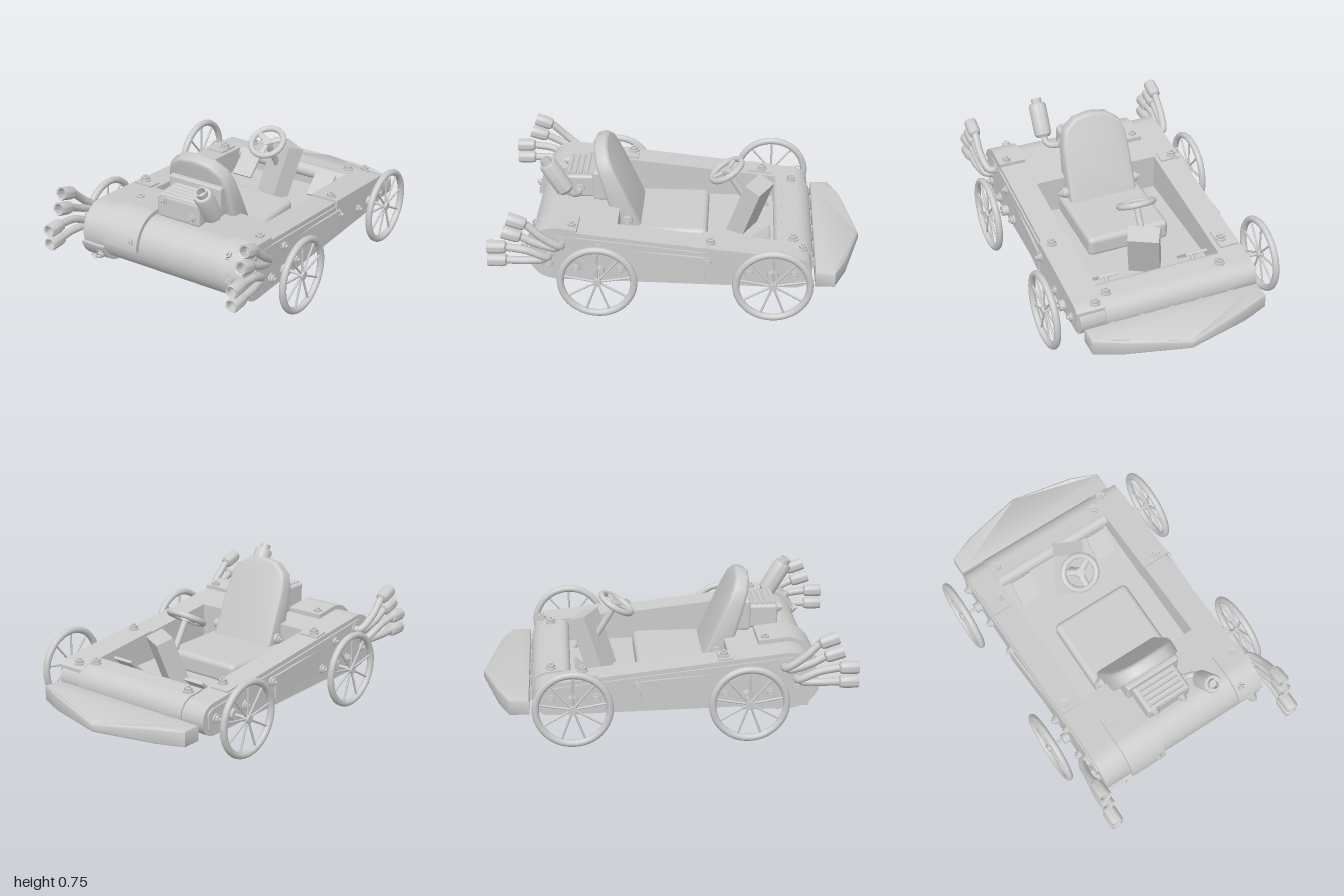
import * as THREE from 'three';
import { toCreasedNormals } from 'three/addons/utils/BufferGeometryUtils.js';
import { RoundedBoxGeometry } from 'three/addons/geometries/RoundedBoxGeometry.js';

const mat = new THREE.MeshStandardMaterial({ color: 0xcccccc, side: THREE.DoubleSide });
const V = (x, y, z) => new THREE.Vector3(x, y, z);
const UP = V(0, 1, 0);

// Side profile of the body: two circles joined by tangent lines
const rear = { z: 0.65, y: 0.3, r: 0.15 }, nose = { z: -0.63, y: 0.22, r: 0.09 };
function edge(z, s, off = 0) {
  const c = z > rear.z ? rear : z < nose.z ? nose : null;
  if (c) return c.y + s * Math.sqrt(Math.max(0, (c.r + off) ** 2 - (z - c.z) ** 2));
  const t = (z - nose.z) / (rear.z - nose.z);
  return THREE.MathUtils.lerp(nose.y + s * (nose.r + off), rear.y + s * (rear.r + off), t);
}

export function createModel() {
  const root = new THREE.Group();

  function add(name, geo, parent = root) {
    const m = new THREE.Mesh(geo, mat);
    m.name = name;
    parent.add(m);
    return m;
  }
  function box(name, w, h, d, x, y, z, r = 0) {
    const m = add(name, r ? new RoundedBoxGeometry(w, h, d, 3, r) : new THREE.BoxGeometry(w, h, d));
    m.position.set(x, y, z);
    return m;
  }
  function rod(name, a, b, r, r2 = r, sides = 16, parent = root) {
    const d = b.clone().sub(a);
    const m = add(name, new THREE.CylinderGeometry(r2, r, d.length(), sides), parent);
    m.position.copy(a).addScaledVector(d, 0.5);
    m.quaternion.setFromUnitVectors(UP, d.normalize());
    return m;
  }
  function tube(name, pts, r) {
    return add(name, new THREE.TubeGeometry(new THREE.CatmullRomCurve3(pts), 20, r, 12));
  }
  // Washer, hexagonal nut and bolt end
  function bolt(p, dir, s = 1) {
    const g = new THREE.Group();
    g.name = 'bolt';
    [[0.028, 0.006, 20], [0.022, 0.02, 6], [0.01, 0.032, 12]].forEach(([r, h, n]) =>
      rod('boltPart', V(0, -0.005, 0), V(0, h * s, 0), r * s, r * s, n, g));
    g.position.copy(p);
    g.quaternion.setFromUnitVectors(UP, dir.clone().normalize());
    root.add(g);
  }
  // Slice of the body profile between two z and two x, optionally cut in height
  function slice(name, x0, x1, z0, z1, { off = 0, lo = -1, hi = 9, sheet = 0 } = {}) {
    const top = [], bottom = [];
    for (let i = 0; i <= 48; i++) {
      const z = (z0 + z1) / 2 - Math.cos(i / 48 * Math.PI) * (z1 - z0) / 2;
      const b = Math.max(lo, edge(z, -1, off));
      const t = sheet ? b + sheet : Math.max(b, Math.min(hi, edge(z, 1, off)));
      bottom.push(new THREE.Vector2(z, b));
      top.push(new THREE.Vector2(z, t + 1e-4));
    }
    const geo = new THREE.ExtrudeGeometry(new THREE.Shape([...bottom, ...top.reverse()]),
      { depth: x1 - x0, bevelEnabled: false });
    geo.rotateY(-Math.PI / 2).translate(x1, 0, 0);
    return add(name, toCreasedNormals(geo, 0.5));
  }

  // Body: two rails, rounded tail, front crossbar and floor
  slice('leftRail', 0.365, 0.51, -0.72, 0.8);
  slice('rightRail', -0.51, -0.365, -0.72, 0.8);
  slice('tail', -0.37, 0.37, 0.33, 0.8);
  slice('crossbar', -0.37, 0.37, -0.73, -0.56, { off: 0.01 });
  slice('floor', -0.37, 0.37, -0.6, 0.4, { sheet: 0.06 });
  rod('crossbarRoll', V(-0.365, 0.285, -0.555), V(0.365, 0.285, -0.555), 0.04, 0.04, 24);
  rod('crossbarLip', V(-0.365, 0.15, -0.6), V(0.365, 0.15, -0.6), 0.045, 0.045, 24);

  // Overlapping sheet patches
  slice('frontLeftPatch', 0.36, 0.525, -0.7, -0.14, { off: 0.012, lo: 0.2 });
  slice('frontRightPatch', -0.5, -0.39, -0.51, -0.37, { off: 0.01, lo: 0.25 });
  slice('midRightPatch', -0.5, -0.385, 0.27, 0.35, { off: 0.01, lo: 0.3 });
  slice('tailPatch', -0.355, -0.14, 0.5, 0.825, { off: 0.025, lo: 0.3 });
  slice('tailLeftPatch', 0.36, 0.515, 0.535, 0.81, { off: 0.02, lo: 0.36 });
  slice('tailRightPatch', -0.512, -0.37, 0.4, 0.815, { off: 0.02, hi: 0.26 });
  for (const [x, z] of [[-0.42, -0.45], [0.41, -0.67], [0.465, -0.175], [-0.46, 0.3], [0.465, 0.565],
    [-0.33, -0.62], [0.33, -0.62], [-0.315, 0.54]]) bolt(V(x, edge(z, 1, 0.015), z), UP);
  // Bolts around the rounded tail
  for (const [x, y] of [[-0.185, 0.35], [0.4, 0.425], [0.445, 0.325], [-0.4, 0.21], [-0.48, 0.16]]) {
    const dy = y - rear.y, dz = Math.sqrt(0.165 ** 2 - dy * dy);
    bolt(V(x, y, rear.z + dz), V(0, dy, dz));
  }
  bolt(V(-0.45, 0.13, 0.6), V(0, -1, 0));

  // Nose board with a sloping tip, and its mounting tabs
  const outline = [[-0.49, 0.75], [0.49, 0.75], [0.49, 0.84], [0.35, 0.9], [0, 0.99], [-0.35, 0.9], [-0.49, 0.84]];
  const board = new THREE.ExtrudeGeometry(new THREE.Shape(outline.map(p => new THREE.Vector2(...p))),
    { depth: 0.07, bevelSize: 0.01, bevelThickness: 0.01, bevelSegments: 2 });
  board.rotateX(-Math.PI / 2).translate(0, 0.14, 0);
  const bp = board.attributes.position;
  for (let i = 0; i < bp.count; i++) {
    const t = THREE.MathUtils.clamp((-bp.getZ(i) - 0.9) / 0.1, 0, 1);
    if (bp.getY(i) > 0.17) bp.setY(i, bp.getY(i) - 0.045 * t);
  }
  board.computeVertexNormals();
  add('noseBoard', toCreasedNormals(board, 0.6));
  for (const x of [-0.34, -0.17, 0, 0.17, 0.34]) box('noseTab', 0.02, 0.06, 0.08, x, 0.18, -0.73);

  // Wheels, axles and hardware on both sides
  for (const s of [-1, 1]) {
    for (const z of [-0.51, 0.42]) {
      const wheel = new THREE.Group();
      wheel.name = 'wheel';
      add('tyre', new THREE.TorusGeometry(0.196, 0.019, 14, 56), wheel);
      for (let i = 0; i < 9; i++) {
        const a = Math.PI / 2 + i * Math.PI * 2 / 9;
        rod('spoke', V(0, 0, 0), V(Math.cos(a) * 0.19, Math.sin(a) * 0.19, 0), 0.006, 0.006, 8, wheel);
      }
      rod('hub', V(0, 0, -0.018), V(0, 0, 0.018), 0.022, 0.022, 20, wheel);
      wheel.rotation.y = Math.PI / 2;
      wheel.position.set(s * 0.635, 0.218, z);
      root.add(wheel);
      rod('axle', V(s * 0.48, 0.218, z), V(s * 0.64, 0.218, z), 0.009);
      rod('axleCollar', V(s * 0.5, 0.218, z), V(s * 0.555, 0.218, z), 0.03);
      for (const d of [-0.115, 0.125]) bolt(V(s * 0.522, 0.225, z + d), V(s, 0, 0));
    }
    bolt(V(s * 0.515, 0.36, 0.42), V(s, 0, 0));
    bolt(V(s * 0.525, 0.29, -0.16), V(s, 0, 0));
    bolt(V(s * 0.51, 0.25, 0.69), V(s, 0, 0), 1.2);
    // Raised side panel and the strip running over it towards the rear axle
    slice('sidePanel', s * 0.513 - 0.006, s * 0.513 + 0.006, -0.68, 0.72, { off: -0.025 });
    const strip = box('sideStrip', 0.012, 0.13, 0.5, s * 0.522, 0.27, 0.1);
    strip.rotation.set(-0.06, s * -0.05, 0);

    // Four exhaust pipes: start, bend, tip start and tip end given as [z, y]
    for (const [a, b, c, d] of [
      [[0.62, 0.38], [0.7, 0.44], [0.79, 0.525], [0.89, 0.56]],
      [[0.64, 0.37], [0.74, 0.41], [0.82, 0.45], [0.92, 0.48]],
      [[0.69, 0.31], [0.79, 0.365], [0.9, 0.385], [1, 0.385]],
      [[0.71, 0.3], [0.8, 0.305], [0.9, 0.305], [1, 0.305]]]) {
      const p = (x, q) => V(s * x, q[1], q[0]);
      tube('exhaustPipe', [p(0.5, a), p(0.55, a), p(0.575, b), p(0.575, c)], 0.021);
      rod('exhaustFlange', p(0.5, a), p(0.525, a), 0.033);
      const tip = new THREE.LatheGeometry([[0.018, 0], [0.032, 0.008], [0.036, 0.03], [0.036, 0.095],
        [0.033, 0.105], [0.025, 0.1], [0.024, 0.04], [0, 0.04]].map(q => new THREE.Vector2(...q)), 24);
      const m = add('exhaustTip', toCreasedNormals(tip, 0.7));
      m.position.copy(p(0.575, c));
      m.quaternion.setFromUnitVectors(UP, p(0.575, d).sub(p(0.575, c)).normalize());
    }

    // Pedals
    const pedal = box('pedal', 0.125, 0.15, 0.015, s * 0.255, 0.275, -0.435);
    pedal.rotation.x = -0.85;
    rod('pedalArm', V(s * 0.255, 0.17, -0.5), V(s * 0.255, 0.27, -0.44), 0.012);
    // Seat hinges
    rod('seatHinge', V(s * 0.17, 0.34, 0.29), V(s * 0.225, 0.34, 0.29), 0.03);
    bolt(V(s * 0.22, 0.34, 0.29), V(s, 0, 0));
  }

  // Seat: cushion and a leaning back with a faceted crown
  box('seatCushion', 0.48, 0.12, 0.5, -0.005, 0.245, 0.1, 0.03);
  const half = [[0.13, 0], [0.165, 0.02], [0.183, 0.08], [0.177, 0.3], [0.17, 0.4], [0.148, 0.47], [0.09, 0.515]];
  const backShape = new THREE.Shape([...half, [0, 0.53], ...half.map(([x, y]) => [-x, y]).reverse()]
    .map(q => new THREE.Vector2(...q)));
  const backGeo = new THREE.ExtrudeGeometry(backShape,
    { depth: 0.035, bevelSize: 0.02, bevelThickness: 0.02, bevelSegments: 4 });
  // The front face leans more than the rear face, so the seat is thick at the bottom
  const sp = backGeo.attributes.position;
  for (let i = 0; i < sp.count; i++)
    if (sp.getZ(i) < 0.018) sp.setZ(i, sp.getZ(i) - 0.07 * (1 - sp.getY(i) / 0.555));
  backGeo.computeVertexNormals();
  const seatBack = add('seatBack', toCreasedNormals(backGeo, 0.7));
  seatBack.rotation.x = 0.28;
  seatBack.position.set(-0.005, 0.225, 0.28);

  // Engine behind the seat: block, cover and cooling fins
  box('engineMount', 0.33, 0.17, 0.09, 0, 0.53, 0.435, 0.012);
  box('engineBlock', 0.27, 0.13, 0.17, 0, 0.51, 0.55, 0.015);
  for (let i = 0; i < 5; i++) rod('coolingFin', V(-0.11, 0.572, 0.49 + i * 0.032), V(0.11, 0.572, 0.49 + i * 0.032), 0.013);
  bolt(V(-0.095, 0.55, 0.635), V(0, 0, 1));
  bolt(V(0.085, 0.49, 0.635), V(0, 0, 1));

  // Upright silencer with its elbow
  tube('silencerElbow', [V(0.12, 0.5, 0.555), V(0.18, 0.495, 0.56), V(0.212, 0.51, 0.58), V(0.215, 0.55, 0.61)], 0.018);
  rod('elbowCollar', V(0.13, 0.5, 0.555), V(0.15, 0.5, 0.555), 0.028);
  const can = new THREE.LatheGeometry([[0, 0], [0.035, 0.002], [0.05, 0.02], [0.051, 0.185], [0.045, 0.2], [0.03, 0.2],
    [0.03, 0.23], [0.022, 0.23], [0.022, 0.19], [0, 0.19]].map(q => new THREE.Vector2(...q)), 32);
  const silencer = add('silencer', toCreasedNormals(can, 0.6));
  silencer.position.set(0.215, 0.525, 0.615);
  silencer.rotation.x = 0.53;

  // Steering: twisted console, column and three-spoke wheel
  const consoleBox = box('steeringConsole', 0.17, 0.36, 0.1, 0.005, 0.32, -0.38);
  consoleBox.rotation.set(-0.35, -0.5, 0, 'YXZ');
  rod('steeringColumn', V(0, 0.3, -0.41), V(0, 0.56, -0.25), 0.018);
  const steering = new THREE.Group();
  steering.name = 'steeringWheel';
  add('steeringRim', new THREE.TorusGeometry(0.095, 0.017, 14, 40), steering);
  rod('steeringHub', V(0, 0, -0.02), V(0, 0, 0.012), 0.03, 0.026, 24, steering);
  for (let i = 0; i < 3; i++) {
    const a = Math.PI / 6 + i * Math.PI * 2 / 3;
    const spoke = rod('steeringSpoke', V(0, 0, 0), V(Math.cos(a) * 0.095, Math.sin(a) * 0.095, 0), 0.02, 0.016, 12, steering);
    spoke.scale.z = 0.5;
  }
  steering.position.set(0, 0.56, -0.25);
  steering.rotation.x = -1.02;
  root.add(steering);
  return root;
}
